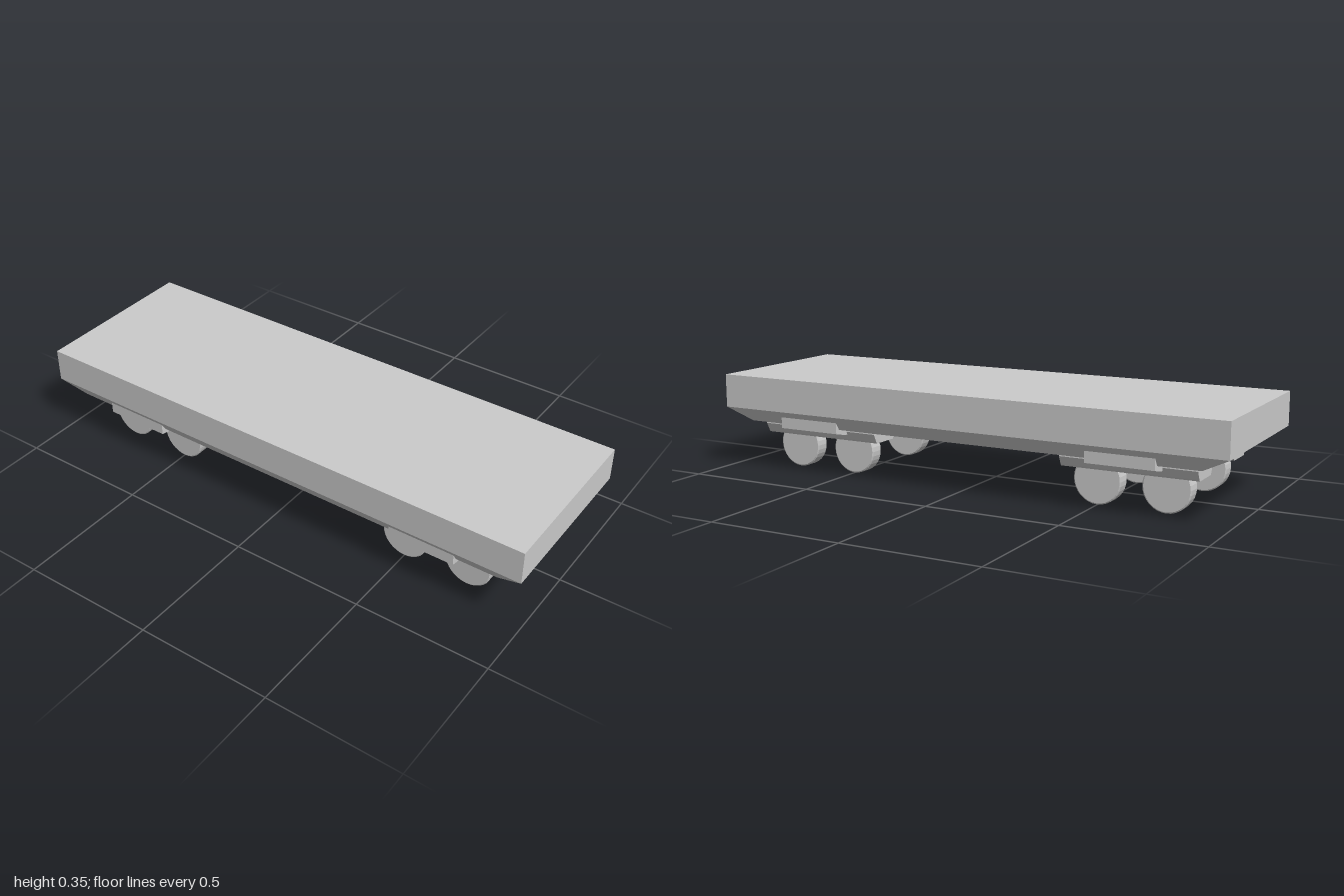
import * as THREE from 'three';

const material = new THREE.MeshStandardMaterial({ color: 0xcccccc, flatShading: true });

function addMesh(parent, name, geometry, x = 0, y = 0, z = 0) {
  const mesh = new THREE.Mesh(geometry, material);
  mesh.name = name;
  mesh.position.set(x, y, z);
  parent.add(mesh);
}

// Extrudes a (z, y) cross-section along x, centred on x = 0
function barAlongX(points, length) {
  const shape = new THREE.Shape(points.map(([z, y]) => new THREE.Vector2(z, y)));
  return new THREE.ExtrudeGeometry(shape, { depth: length, bevelEnabled: false })
    .translate(0, 0, -length / 2)
    .rotateY(Math.PI / 2);
}

// Flat slab with a smaller underside, made by pulling in the lower corners of a box
function taperedBox(width, height, depth, bottomWidth, bottomDepth) {
  const geometry = new THREE.BoxGeometry(width, height, depth);
  const p = geometry.attributes.position;
  for (let i = 0; i < p.count; i++) {
    if (p.getY(i) < 0) {
      p.setX(i, Math.sign(p.getX(i)) * bottomWidth / 2);
      p.setZ(i, Math.sign(p.getZ(i)) * bottomDepth / 2);
    }
  }
  geometry.computeVertexNormals();
  return geometry;
}

export function createModel() {
  const model = new THREE.Group();
  model.name = 'flatWagon';

  // Deck slab and its tapered underside
  addMesh(model, 'deck', new THREE.BoxGeometry(2, 0.125, 0.652), 0, 0.2925, 0);
  addMesh(model, 'deckUnderside', taperedBox(2, 0.05, 0.652, 1.8, 0.588), 0, 0.205, 0);

  // Side frame: wide at the top, chamfered to a narrow foot
  const frame = barAlongX([
    [-0.053, 0.129], [0.053, 0.129], [0.057, 0.135], [0.072, 0.165],
    [0.071, 0.172], [0.068, 0.182], [-0.068, 0.182], [-0.071, 0.172],
    [-0.072, 0.165], [-0.057, 0.135],
  ], 0.495);

  // Cross beam with raised ends
  const bolster = barAlongX([
    [-0.255, 0.154], [0.255, 0.154], [0.312, 0.167], [0.312, 0.21],
    [-0.312, 0.21], [-0.312, 0.167],
  ], 0.25);

  // Wheel with a small rim chamfer, axle along z
  const wheel = new THREE.LatheGeometry([
    [0, -0.0265], [0.083, -0.0265], [0.0875, -0.023],
    [0.0875, 0.023], [0.083, 0.0265], [0, 0.0265],
  ].map(([r, y]) => new THREE.Vector2(r, y)), 32).rotateX(Math.PI / 2);

  // Two bogies, each with two side frames and four wheels
  for (const end of [-1, 1]) {
    const bogie = new THREE.Group();
    bogie.name = end > 0 ? 'leftBogie' : 'rightBogie';
    bogie.position.x = end * 0.624;
    model.add(bogie);
    addMesh(bogie, 'bolster', bolster);
    for (const side of [-1, 1]) {
      addMesh(bogie, 'sideFrame', frame, 0, 0, side * 0.176);
      for (const dx of [-0.125, 0.125]) {
        addMesh(bogie, 'wheel', wheel, dx, 0.0875, side * 0.176);
      }
    }
  }
  return model;
}
